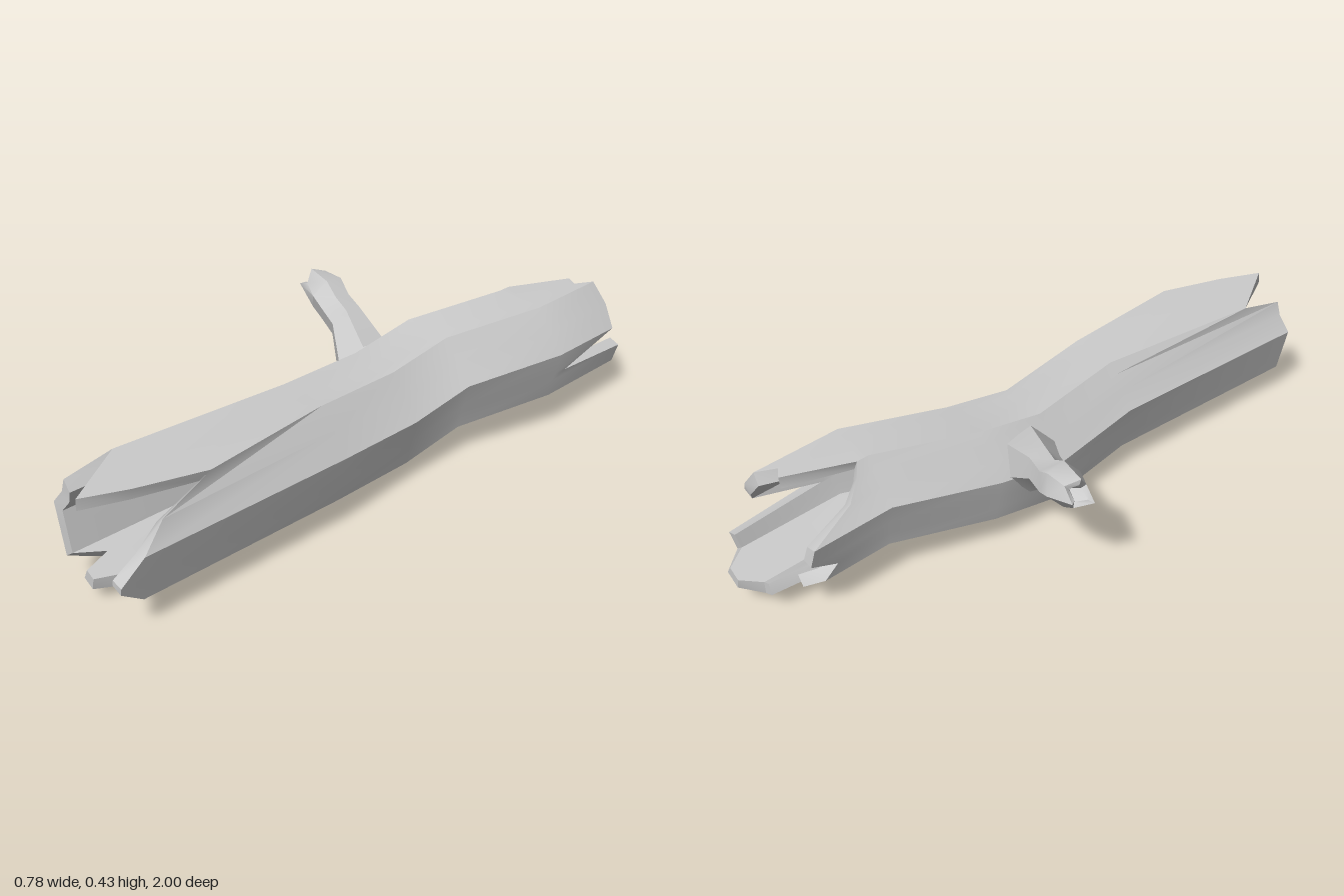
import * as THREE from 'three';
import { toCreasedNormals } from 'three/addons/utils/BufferGeometryUtils.js';

const SIDES = 7;

// Log centre line: z, x, y
const SPINE = [
  [1, 0.165, 0.215], [0.25, 0.165, 0.215], [-0.06, 0.125, 0.186],
  [-0.28, 0.125, 0.222], [-0.6, 0.208, 0.246], [-1, 0.185, 0.236],
];

// Bark columns: position around (0 = bottom, whole numbers = corners),
// z of the splintered front end, z of the back end, sideways flare at the front
const COLUMNS = [
  [0, 0.84, -0.94, 0], [0.35, 0.87, -1, 0], [0.7, 0.88, -1, 0], [1, 0.91, -0.94, 0],
  [1.38, 0.985, -0.95, 0], [1.52, 0.985, -0.65, 0], [2, 0.92, -0.87, 0],
  [2.5, 0.84, -0.89, 0.02], [3, 0.67, -0.88, 0.05], [3.2, 0.87, -0.82, 0.02],
  [3.42, 1, -0.84, 0], [4, 0.8, -0.64, -0.04], [4.25, 0.95, -0.66, -0.02],
  [4.6, 0.95, -0.71, 0], [5, 0.955, -0.86, 0], [5.4, 0.955, -0.87, 0],
  [5.7, 0.955, -0.78, 0], [6, 0.955, -0.82, 0], [6.3, 0.87, -0.87, 0],
  [6.5, 0.95, -0.8, 0], [6.75, 0.95, -0.94, 0],
];

const material = () => new THREE.MeshStandardMaterial({ color: 0xcccccc, side: THREE.DoubleSide });

// Skins a list of rings of equal length; wrap also joins the last ring to the first
function skin(rings, wrap) {
  const n = rings[0].length, index = [];
  const count = wrap ? rings.length : rings.length - 1;
  for (let i = 0; i < count; i++) {
    const k = (i + 1) % rings.length;
    for (let j = 0; j < n; j++) {
      const m = (j + 1) % n;
      const a = i * n + j, b = k * n + j, c = i * n + m, d = k * n + m;
      index.push(a, b, d, a, d, c);
    }
  }
  const geometry = new THREE.BufferGeometry();
  geometry.setAttribute('position', new THREE.Float32BufferAttribute(rings.flat(2), 3));
  geometry.setIndex(index);
  return toCreasedNormals(geometry, 0.6);
}

function spineAt(z) {
  let i = 0;
  while (i < SPINE.length - 2 && z < SPINE[i + 1][0]) i++;
  const [a, b] = [SPINE[i], SPINE[i + 1]];
  const t = (z - a[0]) / (b[0] - a[0]);
  return [a[1] + (b[1] - a[1]) * t, a[2] + (b[2] - a[2]) * t];
}

// Point on the seven-sided log wall
function wallPoint(u, z, radius, flare) {
  const corner = (k) => {
    const angle = -Math.PI / 2 + (k * 2 * Math.PI) / SIDES;
    return [Math.cos(angle), Math.sin(angle)];
  };
  const k = Math.floor(u), t = u - k, a = corner(k), b = corner(k + 1);
  const [cx, cy] = spineAt(z);
  return [
    cx + radius * (a[0] + (b[0] - a[0]) * t) + flare,
    cy + radius * (a[1] + (b[1] - a[1]) * t),
    z,
  ];
}

function logGeometry() {
  const wall = (radius) => [
    COLUMNS.map(([u, front, , flare]) => wallPoint(u, front, radius, flare)),
    ...SPINE.slice(1, -1).map(([z]) => COLUMNS.map(([u]) => wallPoint(u, z, radius, 0))),
    COLUMNS.map(([u, , back]) => wallPoint(u, back, radius, 0)),
  ];
  // Outer bark front to back, then the hollow back to front
  return skin([...wall(0.184), ...wall(0.143).reverse()], true);
}

function branchGeometry() {
  const sides = 6;
  const ring = (x, y, z, radius, jag = 0) => Array.from({ length: sides }, (_, j) => {
    const angle = (j / sides) * Math.PI * 2 + 0.35;
    const p = radius * Math.cos(angle), q = radius * Math.sin(angle);
    const s = jag * [0.5, -0.6, 1, -0.9, 1, -0.5][j];
    return [x + 0.42 * p - 0.95 * s, y + 0.9 * p + 0.3 * s, z + q];
  });
  return skin([
    ring(-0.015, 0.262, -0.145, 0.098),
    ring(-0.15, 0.338, -0.2, 0.06),
    ring(-0.225, 0.348, -0.225, 0.058),
    ring(-0.28, 0.376, -0.237, 0.064),
    ring(-0.357, 0.394, -0.25, 0.043, 0.024),
    // splintered rim and shallow hollow
    ring(-0.352, 0.392, -0.25, 0.026, 0.018),
    ring(-0.31, 0.38, -0.242, 0.002),
  ], false);
}

export function createModel() {
  const model = new THREE.Group();
  model.name = 'hollowLog';
  for (const [name, geometry] of [['trunk', logGeometry()], ['branch', branchGeometry()]]) {
    const mesh = new THREE.Mesh(geometry, material());
    mesh.name = name;
    model.add(mesh);
  }
  return model;
}
